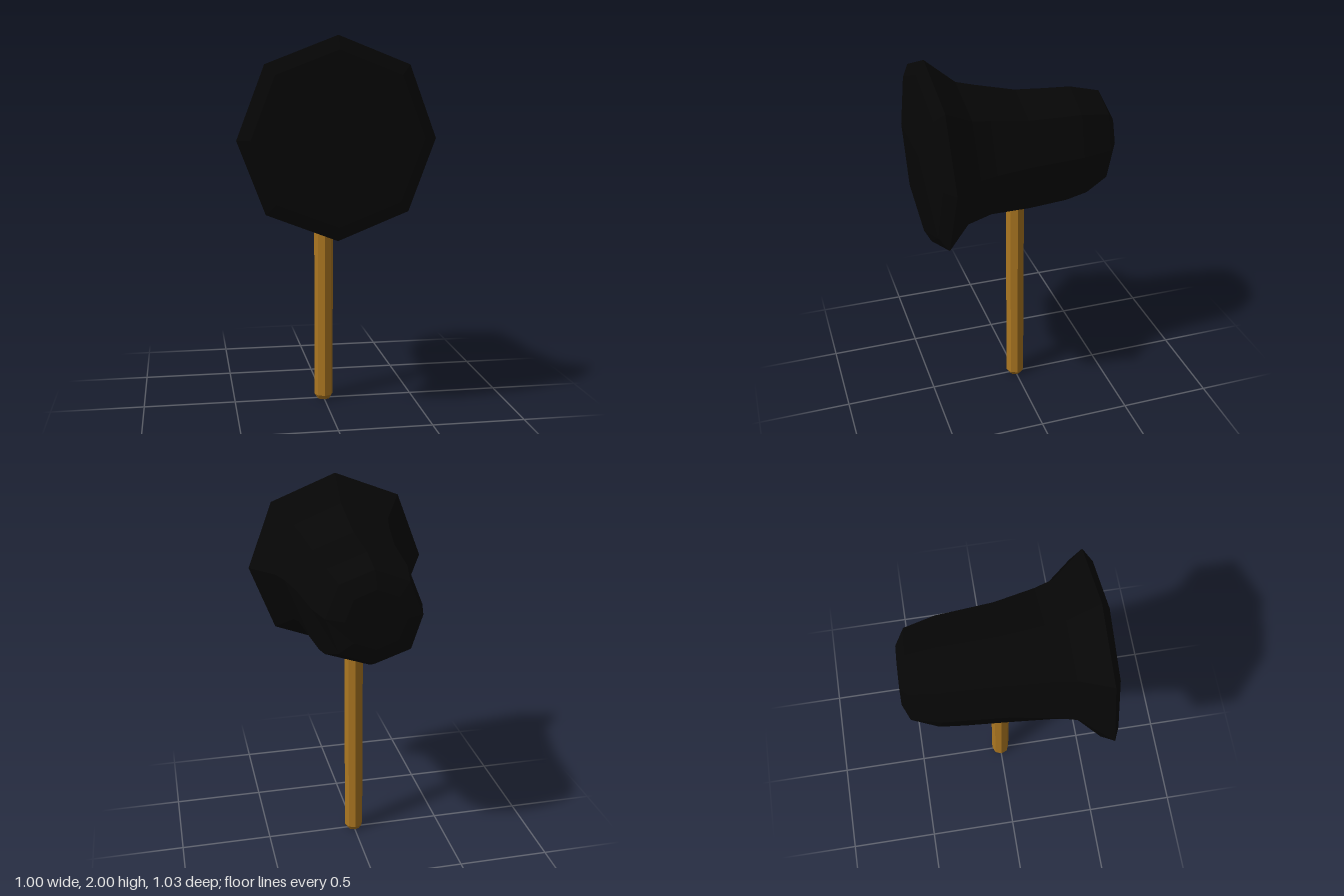
import * as THREE from 'three';

const SIDES = 8;
const CENTRE_Y = 1.495;

// Closed octagonal loft along z.
// Each ring: [zRight, zLeft, zTop, zBottom, rSide, rTop, rBottom, fullness of the lower corners]
function loftHead(rings, frontZ, backZ) {
  const pos = [0, CENTRE_Y, frontZ, 0, CENTRE_Y, backZ];
  const index = [];
  for (const [zr, zl, zt, zb, rs, rt, rb, low] of rings) {
    for (let j = 0; j < SIDES; j++) {
      const a = (j / SIDES) * Math.PI * 2;
      const c = Math.cos(a), s = Math.sin(a);
      const z = c * c * (c > 0 ? zr : zl) + s * s * (s > 0 ? zt : zb);
      const full = j % 2 === 0 ? 1 : s > 0 ? 1.02 : low;
      pos.push(c * rs * full, CENTRE_Y + s * (s > 0 ? rt : rb) * full, z);
    }
  }
  const at = (i, j) => 2 + i * SIDES + (j % SIDES);
  const last = rings.length - 1;
  for (let j = 0; j < SIDES; j++) {
    index.push(0, at(0, j), at(0, j + 1));
    index.push(1, at(last, j + 1), at(last, j));
    for (let i = 0; i < last; i++) {
      const a = at(i, j), b = at(i, j + 1), c = at(i + 1, j), d = at(i + 1, j + 1);
      index.push(a, c, b, b, c, d);
    }
  }
  const geo = new THREE.BufferGeometry();
  geo.setAttribute('position', new THREE.Float32BufferAttribute(pos, 3));
  geo.setIndex(index);
  const flat = geo.toNonIndexed();
  flat.computeVertexNormals();
  return flat;
}

// Octagonal turned part, profile listed from bottom to top
function turned(name, profile, material) {
  const points = profile.map(([r, y]) => new THREE.Vector2(r, y));
  const mesh = new THREE.Mesh(new THREE.LatheGeometry(points, SIDES), material);
  mesh.name = name;
  return mesh;
}

export function createModel() {
  const group = new THREE.Group();
  const black = new THREE.MeshStandardMaterial({ color: 0x060606, flatShading: true });
  black.name = 'black head';
  const wood = new THREE.MeshStandardMaterial({ color: 0xac7721, flatShading: true });
  wood.name = 'brown wood';

  // Flared striking face, tapering to a rounded rear end
  const rings = [
    [0.495, 0.513, 0.508, 0.508, 0.435, 0.435, 0.435, 1.02],
    [0.443, 0.483, 0.465, 0.47, 0.502, 0.505, 0.508, 1.02],
    [0.29, 0.335, 0.31, 0.38, 0.372, 0.375, 0.385, 1.04],
    [0.2, 0.22, 0.21, 0.22, 0.342, 0.348, 0.325, 1.09],
    [0, 0, 0, 0, 0.305, 0.298, 0.33, 1.12],
    [-0.2, -0.22, -0.21, -0.22, 0.287, 0.284, 0.32, 1.12],
    [-0.28, -0.33, -0.3, -0.37, 0.279, 0.28, 0.29, 1.12],
    [-0.44, -0.48, -0.46, -0.465, 0.24, 0.24, 0.245, 1.04],
    [-0.5, -0.515, -0.505, -0.505, 0.155, 0.155, 0.155, 1.02],
  ];
  const head = new THREE.Mesh(loftHead(rings, 0.515, -0.515), black);
  head.name = 'head';
  group.add(head);

  // Low swelling of the head around the handle
  group.add(turned('collar', [[0.05, 1.162], [0.13, 1.175], [0.18, 1.23]], black));

  // Octagonal handle with a chamfered foot, set into the head
  group.add(turned('handle', [[0, 0], [0.036, 0], [0.052, 0.025], [0.052, 1.2], [0, 1.2]], wood));

  return group;
}
